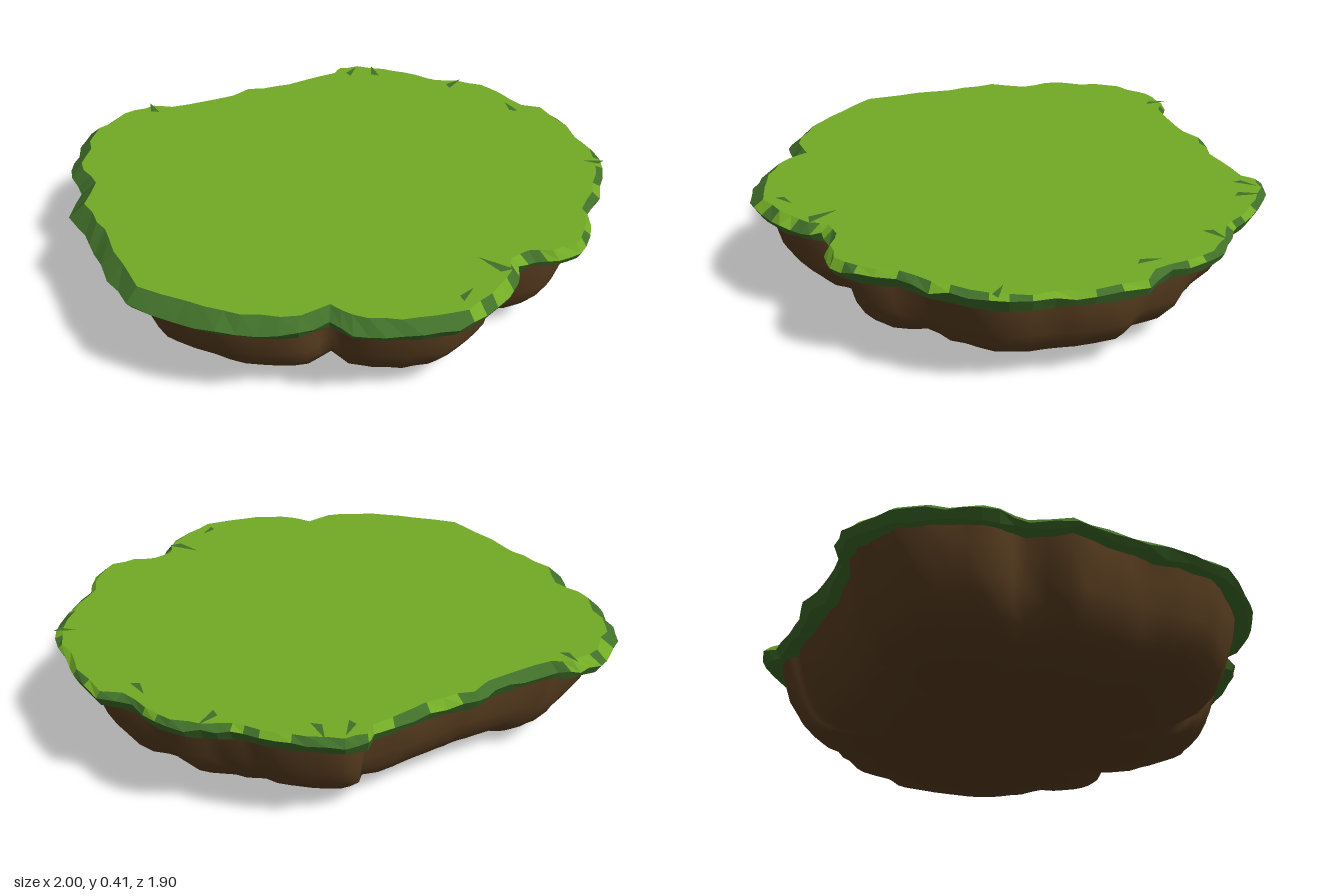
import * as THREE from 'three';

const grass = new THREE.MeshStandardMaterial({ color: 0x72ab25 });
grass.name = 'brightGrass';
const rim = new THREE.MeshStandardMaterial({ color: 0x41702a });
rim.name = 'darkGrass';
const soil = new THREE.MeshStandardMaterial({ color: 0x5e4122 });
soil.name = 'soil';
for (const m of [grass, rim]) m.flatShading = true;

// Coastline of the turf seen from above (x, z)
const COAST = [
  [-.45, -.95], [-.36, -.93], [-.3, -.88], [-.16, -.85], [-.03, -.83], [.06, -.84], [.17, -.8],
  [.3, -.78], [.46, -.76], [.51, -.79], [.58, -.76], [.66, -.67], [.72, -.59], [.77, -.49],
  [.83, -.43], [.9, -.35], [.94, -.25], [.94, -.12], [1, 0], [.98, .18], [.94, .3], [.9, .44],
  [.82, .54], [.72, .63], [.6, .69], [.51, .8], [.42, .85], [.33, .84], [.26, .8], [.18, .8],
  [.13, .86], [.05, .91], [-.07, .94], [-.19, .95], [-.3, .91], [-.4, .85], [-.48, .78],
  [-.51, .69], [-.62, .68], [-.73, .61], [-.83, .52], [-.91, .4], [-1, .23], [-1, .08],
  [-.97, -.1], [-.95, -.22], [-.95, -.37], [-.85, -.49], [-.84, -.6], [-.79, -.7],
  [-.72, -.8], [-.64, -.88], [-.54, -.92],
];
// Places where two lobes of the soil meet
const CREASES = [[.05, -.8], [-.47, -.9], [-.83, -.46], [-.95, 0], [-.5, .68], [.16, .8],
  [.62, .66], [.88, -.37], [.48, -.76]].map(([x, z]) => Math.atan2(z, x));

let seed = 7;
const rand = () => (seed = (seed * 16807) % 2147483647) / 2147483647;

// Outline with a midpoint on every edge
const outline = COAST.flatMap(([x, z], i) => {
  const [u, v] = COAST[(i + 1) % COAST.length];
  const k = .5 + (rand() - .5) * .008;
  return [[x, z], [(x + u) * k, (z + v) * k]];
});
const N = outline.length;

// Joins closed rings, listed from the top down; pick() chooses the material of each segment
function loft(name, rings, materials, pick = () => 0) {
  const lists = materials.map(() => []);
  for (let r = 0; r < rings.length - 1; r++) {
    for (let i = 0; i < N; i++) {
      const j = (i + 1) % N;
      const a = r * N + i, a2 = r * N + j, b = a + N, b2 = a2 + N;
      lists[pick(r, i)].push(a, a2, b, a2, b2, b);
    }
  }
  const geo = new THREE.BufferGeometry();
  geo.setAttribute('position', new THREE.Float32BufferAttribute(rings.flat(2), 3));
  geo.setIndex(lists.flat());
  let start = 0;
  lists.forEach((l, k) => { geo.addGroup(start, l.length, k); start += l.length; });
  geo.computeVertexNormals();
  const mesh = new THREE.Mesh(geo, materials);
  mesh.name = name;
  return mesh;
}

// Ring following the coastline, pulled in by inset(i) at height y(i)
const ring = (inset, y) => outline.map(([x, z], i) => {
  const r = Math.hypot(x, z), k = (r - inset(i)) / r;
  return [x * k, y(i), z * k];
});

export function createModel() {
  const group = new THREE.Group();
  group.name = 'grassIsland';

  // Turf edge is wider and darker towards the left and front of the outline
  const inset = outline.map(([x, z]) => Math.max(.012, .026 - .022 * x + .006 * z) + rand() * .018);
  const sag = outline.map(() => rand());
  const topRing = ring(i => inset[i], () => .406);
  const innerRing = ring(() => .12, () => .406);
  const centre = outline.map(() => [0, .406, 0]);
  group.add(loft('grassTop', [centre, innerRing, topRing], [grass]));

  const edge = ring(() => 0, i => .375 + .014 * outline[i][0] + (sag[i] - .5) * .016);
  const hem = ring(i => .012 + sag[i] * .014, i => .35 + .006 * outline[i][0] - sag[i] * .012);
  const under = ring(() => .13, () => .365);
  const bright = outline.map(([x, z]) => (x > -.15 || z < -.8) && rand() < .5);
  group.add(loft('grassRim', [topRing, edge, hem, under], [rim, grass],
    (r, i) => (r === 0 && bright[i] ? 1 : 0)));

  // Soil bowl: [height, scale, crease depth, offset towards back right corner]
  const profile = [[.375, 1, .035, 0], [.3, .985, .045, 0], [.2, .95, .045, 0], [.14, .91, .04, 0],
    [.09, .86, .03, .004], [.05, .775, .018, .015], [.022, .65, .01, .035],
    [.007, .45, 0, .05], [0, .25, 0, .06], [0, 0, 0, .06]];
  const bowl = profile.map(([y, s, depth, shift]) => outline.map(([x, z]) => {
    const t = Math.atan2(z, x);
    let notch = 0;
    for (const c of CREASES) {
      const d = Math.atan2(Math.sin(t - c), Math.cos(t - c));
      notch = Math.max(notch, Math.exp(-Math.abs(d) / .09));
    }
    const r = Math.hypot(x, z);
    const k = ((r - .062) * s - notch * depth + (rand() - .5) * .008 * s) / r;
    return [x * k - shift, y, z * k - shift];
  }));
  group.add(loft('soilBowl', bowl, [soil]));

  // Small dark tears in the turf near the edge
  const tears = [[.1, .77, .13, 1.9], [-.08, .85, .08, .4], [.88, -.07, .09, 1.4], [.82, -.37, .1, .3],
    [.6, -.66, .1, 1.2], [.52, -.71, .09, .6], [.85, .45, .08, 2.4], [-.36, -.88, .09, 1.4]];
  for (const [x, z, size, turn] of tears) {
    const shape = new THREE.Shape([[-.5, -.12], [.5, 0], [-.3, .2]].map(
      ([u, v]) => new THREE.Vector2(u * size, v * size)));
    const tear = new THREE.Mesh(new THREE.ShapeGeometry(shape).rotateX(-Math.PI / 2), rim);
    tear.position.set(x, .409, z);
    tear.rotation.y = turn;
    tear.name = 'turfTear';
    group.add(tear);
  }
  return group;
}
